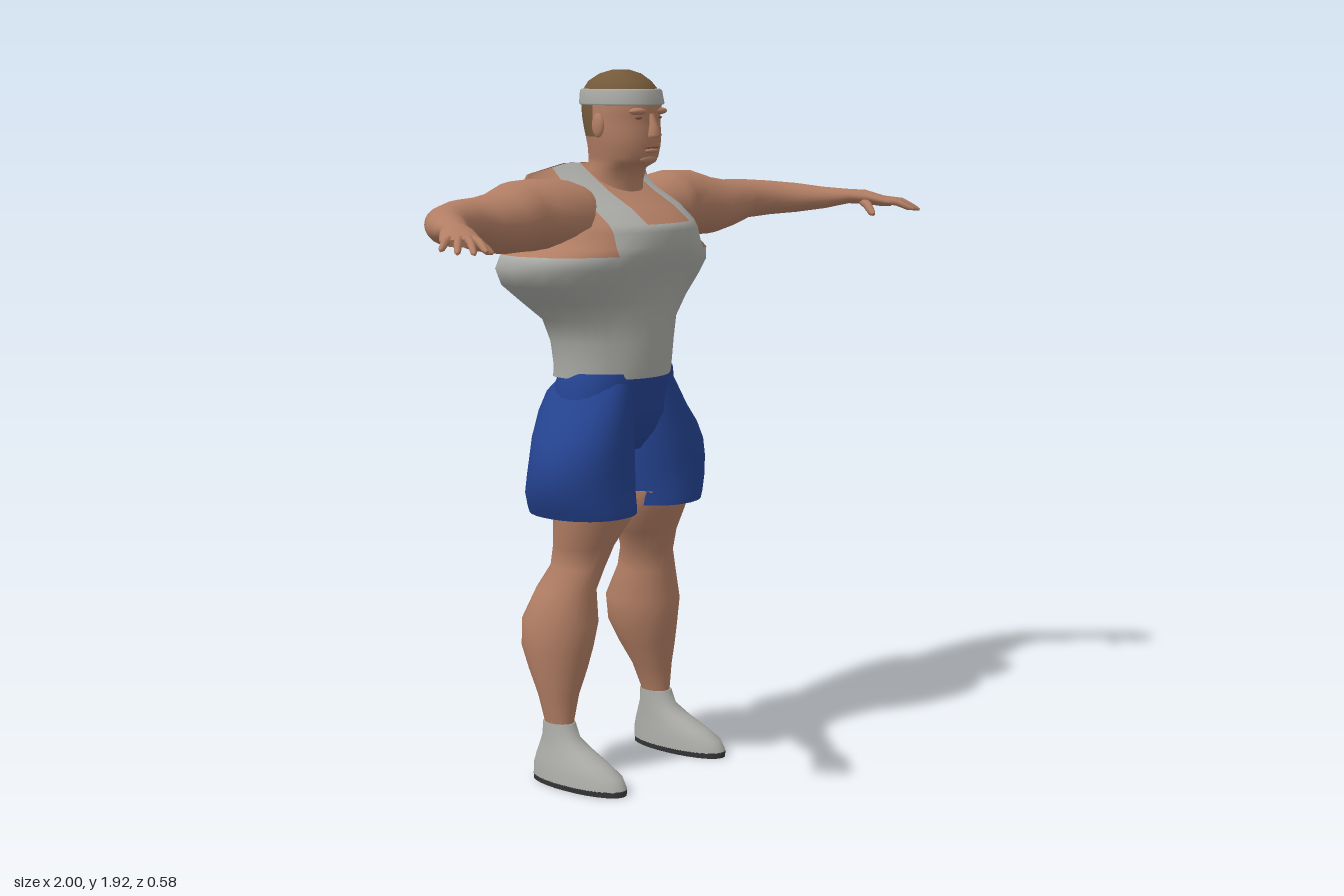
import * as THREE from 'three';

const mat = (name, color) => {
  const m = new THREE.MeshStandardMaterial({ color });
  m.name = name;
  return m;
};
const V = (x, y, z) => new THREE.Vector3(x, y, z);

// Skin a list of closed rings, with flat caps; pick(centre) chooses the material index.
function loft(name, rings, mats, pick = () => 0) {
  const n = rings[0].length, pts = rings.flat().map(p => p.clone());
  const lists = mats.map(() => []);
  const tri = (a, b, c, k) => lists[k].push(a, b, c);
  for (let i = 0; i < rings.length - 1; i++) {
    for (let j = 0; j < n; j++) {
      const a = i * n + j, b = i * n + (j + 1) % n, c = b + n, d = a + n;
      const mid = V(0, 0, 0).add(pts[a]).add(pts[b]).add(pts[c]).add(pts[d]).multiplyScalar(0.25);
      const k = pick(mid);
      tri(a, b, c, k);
      tri(a, c, d, k);
    }
  }
  [rings[0], rings[rings.length - 1]].forEach((ring, end) => {
    const base = pts.length, mid = V(0, 0, 0);
    ring.forEach(p => { pts.push(p.clone()); mid.addScaledVector(p, 1 / n); });
    pts.push(mid);
    const k = pick(mid);
    for (let j = 0; j < n; j++) {
      const a = base + j, b = base + (j + 1) % n;
      end ? tri(a, b, base + n, k) : tri(b, a, base + n, k);
    }
  });
  // Turn the faces outward whatever the ring direction
  let volume = 0;
  lists.forEach(l => {
    for (let i = 0; i < l.length; i += 3) volume += pts[l[i]].dot(pts[l[i + 1]].clone().cross(pts[l[i + 2]]));
  });
  const index = lists.flat();
  if (volume < 0) for (let i = 0; i < index.length; i += 3) [index[i], index[i + 1]] = [index[i + 1], index[i]];
  const geo = new THREE.BufferGeometry().setFromPoints(pts);
  geo.setIndex(index);
  let start = 0;
  lists.forEach((l, k) => { geo.addGroup(start, l.length, k); start += l.length; });
  geo.computeVertexNormals();
  const mesh = new THREE.Mesh(geo, mats.length > 1 ? mats : mats[0]);
  mesh.name = name;
  return mesh;
}

// Level rounded ring: centre, half width, front and back z, squareness
function ring(cx, y, w, zf, zb, p = 2, n = 32) {
  const pow = v => Math.sign(v) * Math.abs(v) ** (2 / p);
  return Array.from({ length: n }, (_, i) => {
    const a = i / n * Math.PI * 2;
    return V(cx + w * pow(Math.cos(a)), y, (zf + zb) / 2 + (zf - zb) / 2 * pow(Math.sin(a)));
  });
}

// Oval rings square to a path of [x, y, z, half width, half height]
function tubeRings(path, s, n = 18) {
  const at = i => V(...path[Math.min(Math.max(i, 0), path.length - 1)].slice(0, 3));
  return path.map(([x, y, z, rh, rv], i) => {
    const t = at(i + 1).sub(at(i - 1)).normalize();
    const side = t.clone().cross(V(0, 1, 0)).normalize(), up = side.clone().cross(t);
    return Array.from({ length: n }, (_, j) => {
      const a = j / n * Math.PI * 2;
      const p = V(x, y, z).addScaledVector(side, rh * Math.cos(a)).addScaledVector(up, rv * Math.sin(a));
      p.x *= s;
      return p;
    });
  });
}

// Torso ring with fixed columns, so strap edges run straight
function torsoRing([y, w, zf, zb]) {
  const k = Math.min(1, 0.75 * w / 0.18), e = 0.18 * k, p = 2.3;
  const xs = [0, 0.25, 0.5, 0.75, 1].map(f => f * e).concat([0.35, 0.65, 0.88, 1].map(f => e + (w - e) * f));
  const point = (x, sign, s) => {
    const r = x / w, dz = (zf - zb) / 2 * Math.max(0, 1 - r ** p) ** (1 / p);
    const drop = y > 1.6 ? Math.max(0, x - 0.14) * 0.25 : 0;
    return V(s * x, y - drop, (zf + zb) / 2 - 0.05 * r * r + sign * dz);
  };
  const right = xs.map(x => point(x, 1, 1)).concat(xs.slice(0, -1).reverse().map(x => point(x, -1, 1)));
  const left = xs.slice(1).reverse().map(x => point(x, -1, -1)).reverse()
    .concat(xs.slice(1, -1).reverse().map(x => point(x, 1, -1)));
  return right.concat(left);
}

export function createModel() {
  const g = new THREE.Group();
  g.name = 'athlete';
  const skin = mat('skin', 0xb27e64), cloth = mat('greyCloth', 0xa9a9a5), blue = mat('blueShorts', 0x24428f);
  const hair = mat('brownHair', 0x74593a), dark = mat('darkSole', 0x38383a), lip = mat('lipBrown', 0x87523f);

  // Vest with wide flared sides, square neckline and shoulder straps
  g.add(loft('torsoAndVest', [
    [1.105, 0.178, 0.06, -0.19], [1.14, 0.178, 0.065, -0.19], [1.2, 0.183, 0.07, -0.2], [1.26, 0.205, 0.07, -0.215],
    [1.31, 0.265, 0.076, -0.255], [1.36, 0.33, 0.086, -0.283], [1.405, 0.355, 0.105, -0.29],
    [1.44, 0.335, 0.117, -0.287], [1.46, 0.29, 0.122, -0.283], [1.5, 0.265, 0.123, -0.278],
    [1.52, 0.255, 0.115, -0.274], [1.56, 0.25, 0.06, -0.262], [1.6, 0.25, -0.015, -0.24],
    [1.64, 0.25, -0.075, -0.205], [1.675, 0.25, -0.125, -0.135]
  ].map(torsoRing), [cloth, skin], c => {
    const x = Math.abs(c.x);
    const neck = x < 0.09 && c.y > (c.z > -0.12 ? 1.52 : 1.6);
    return c.y > 1.44 && (x > 0.18 || neck) ? 1 : 0;
  }));

  // Neck and head, with hair over the crown and nape
  const headRings = [
    [1.56, 0.09, -0.01, -0.2], [1.62, 0.085, -0.015, -0.175], [1.66, 0.083, -0.005, -0.15], [1.675, 0.082, 0.028, -0.15],
    [1.69, 0.085, 0.04, -0.15], [1.72, 0.092, 0.045, -0.15], [1.745, 0.096, 0.046, -0.155], [1.77, 0.097, 0.044, -0.162],
    [1.8, 0.098, 0.042, -0.168], [1.83, 0.098, 0.049, -0.17], [1.865, 0.093, 0.04, -0.168],
    [1.89, 0.078, 0.018, -0.152], [1.91, 0.052, -0.01, -0.12], [1.92, 0.02, -0.04, -0.085]
  ];
  g.add(loft('head', headRings.map(([y, w, f, b]) => ring(0, y, w, f, b, 2.15, 40)), [skin, hair],
    c => c.y > 1.85 || (c.y > 1.745 && c.z < -0.075) ? 1 : 0));
  g.add(loft('headband', [[1.828, 0.1, 0.052, -0.174], [1.832, 0.104, 0.056, -0.177], [1.866, 0.099, 0.049, -0.175],
    [1.87, 0.094, 0.043, -0.17]].map(([y, w, f, b]) => ring(0, y, w, f, b, 2.15, 40)), [cloth]));

  const ball = (name, m, x, y, z, sx, sy, sz) => {
    const b = new THREE.Mesh(new THREE.SphereGeometry(1, 16, 10), m);
    b.name = name;
    b.position.set(x, y, z);
    b.scale.set(sx, sy, sz);
    g.add(b);
    return b;
  };
  // Face
  g.add(loft('nose', [ring(0, 1.742, 0.016, 0.058, 0.03, 2, 12), ring(0, 1.75, 0.02, 0.071, 0.03, 2, 12),
    ring(0, 1.775, 0.012, 0.06, 0.03, 2, 12), ring(0, 1.806, 0.009, 0.048, 0.03, 2, 12)], [skin]));
  ball('mouth', lip, 0, 1.717, 0.042, 0.03, 0.004, 0.006);
  ball('lowerLip', skin, 0, 1.708, 0.041, 0.026, 0.007, 0.009);
  ball('chin', skin, 0, 1.686, 0.03, 0.035, 0.014, 0.012);

  for (const s of [1, -1]) {
    ball('brow', skin, s * 0.042, 1.812, 0.03, 0.034, 0.01, 0.016);
    ball('eye', lip, s * 0.04, 1.795, 0.0315, 0.016, 0.0045, 0.006);
    ball('ear', skin, s * 0.097, 1.775, -0.062, 0.01, 0.032, 0.02);

    // Arm from shoulder to palm
    g.add(loft('arm', tubeRings([
      [0.12, 1.54, -0.11, 0.08, 0.075], [0.2, 1.542, -0.1, 0.115, 0.093], [0.28, 1.547, -0.125, 0.105, 0.094],
      [0.36, 1.546, -0.122, 0.1, 0.092], [0.44, 1.535, -0.108, 0.1, 0.08], [0.52, 1.537, -0.108, 0.084, 0.068],
      [0.6, 1.547, -0.095, 0.07, 0.056], [0.68, 1.547, -0.06, 0.058, 0.049], [0.74, 1.546, -0.005, 0.05, 0.042],
      [0.79, 1.546, 0.06, 0.042, 0.031], [0.835, 1.55, 0.113, 0.032, 0.021], [0.868, 1.548, 0.15, 0.042, 0.02],
      [0.9, 1.536, 0.19, 0.05, 0.016], [0.915, 1.531, 0.208, 0.043, 0.01]
    ], s, 22), [skin]));

    // Thumb and four fingers: root x, z and tip x, y, z
    [[0.85, 0.15, 0.815, 1.502, 0.215], [0.872, 0.2, 0.915, 1.515, 0.288], [0.893, 0.205, 0.953, 1.512, 0.284],
      [0.912, 0.195, 0.983, 1.514, 0.258], [0.925, 0.175, 0.996, 1.52, 0.218]
    ].forEach(([x, z, tx, ty, tz], i) => {
      const r = i ? 0.01 : 0.013, my = i ? 1.534 : 1.526;
      g.add(loft(i ? 'finger' : 'thumb', tubeRings([[x, 1.54, z, r, r],
        [(x + tx) / 2, my, (z + tz) / 2, r, r], [tx * 0.85 + x * 0.15, ty + 0.004, tz * 0.85 + z * 0.15, r * 0.8, r * 0.8],
        [tx, ty, tz, r * 0.35, r * 0.35]], s, 8), [skin]));
    });

    // Ballooned shorts leg: centre x, y, half width, front z, back z
    g.add(loft('shortsLeg', [
      [0.085, 1.1, 0.07, 0.03, -0.19], [0.095, 1.06, 0.095, 0.037, -0.222], [0.115, 1.01, 0.113, 0.042, -0.226],
      [0.14, 0.95, 0.138, 0.05, -0.213], [0.152, 0.9, 0.151, 0.055, -0.203], [0.156, 0.85, 0.154, 0.058, -0.208],
      [0.154, 0.8, 0.15, 0.062, -0.222], [0.146, 0.76, 0.138, 0.068, -0.23], [0.142, 0.74, 0.132, 0.068, -0.23]
    ].map(([x, y, w, f, b]) => ring(s * x, y, w, f, b, 2.15)), [blue]));

    // Bare leg with knee and calf
    g.add(loft('leg', [
      [0.122, 0.78, 0.118, 0.05, -0.18], [0.12, 0.72, 0.115, 0.035, -0.168], [0.137, 0.65, 0.086, 0.0, -0.165],
      [0.15, 0.59, 0.063, -0.014, -0.175], [0.174, 0.53, 0.076, -0.028, -0.2], [0.18, 0.44, 0.097, -0.022, -0.243],
      [0.186, 0.37, 0.09, -0.033, -0.242], [0.194, 0.31, 0.077, -0.045, -0.212], [0.205, 0.24, 0.054, -0.06, -0.176],
      [0.211, 0.17, 0.035, -0.066, -0.156], [0.211, 0.14, 0.032, -0.066, -0.15]
    ].map(([x, y, w, f, b]) => ring(s * x, y, w, f, b, 2, 24)), [skin]));

    // Sock foot on a dark sole
    g.add(loft('foot', [
      [0.212, 0.165, 0.037, -0.062, -0.158], [0.213, 0.125, 0.041, -0.045, -0.16], [0.215, 0.098, 0.046, 0.005, -0.17],
      [0.218, 0.07, 0.053, 0.065, -0.18], [0.22, 0.045, 0.06, 0.11, -0.186], [0.221, 0.015, 0.064, 0.126, -0.186]
    ].map(([x, y, w, f, b]) => ring(s * x, y, w, f, b, 2.1, 28)), [cloth]));
    g.add(loft('sole', [[0.016, 0.064], [0, 0.06]].map(([y, w]) => ring(s * 0.221, y, w, 0.126, -0.186, 2.1, 28)), [dark]));
  }

  // Shorts waist and seat
  g.add(loft('shortsWaist', [
    [1.12, 0.172, 0.046, -0.195], [1.1, 0.181, 0.046, -0.212], [1.05, 0.197, 0.04, -0.216], [1.0, 0.2, 0.036, -0.208],
    [0.95, 0.16, 0.02, -0.18], [0.9, 0.08, -0.01, -0.14]
  ].map(([y, w, f, b]) => ring(0, y, w, f, b, 2.3)), [blue]));
  return g;
}
